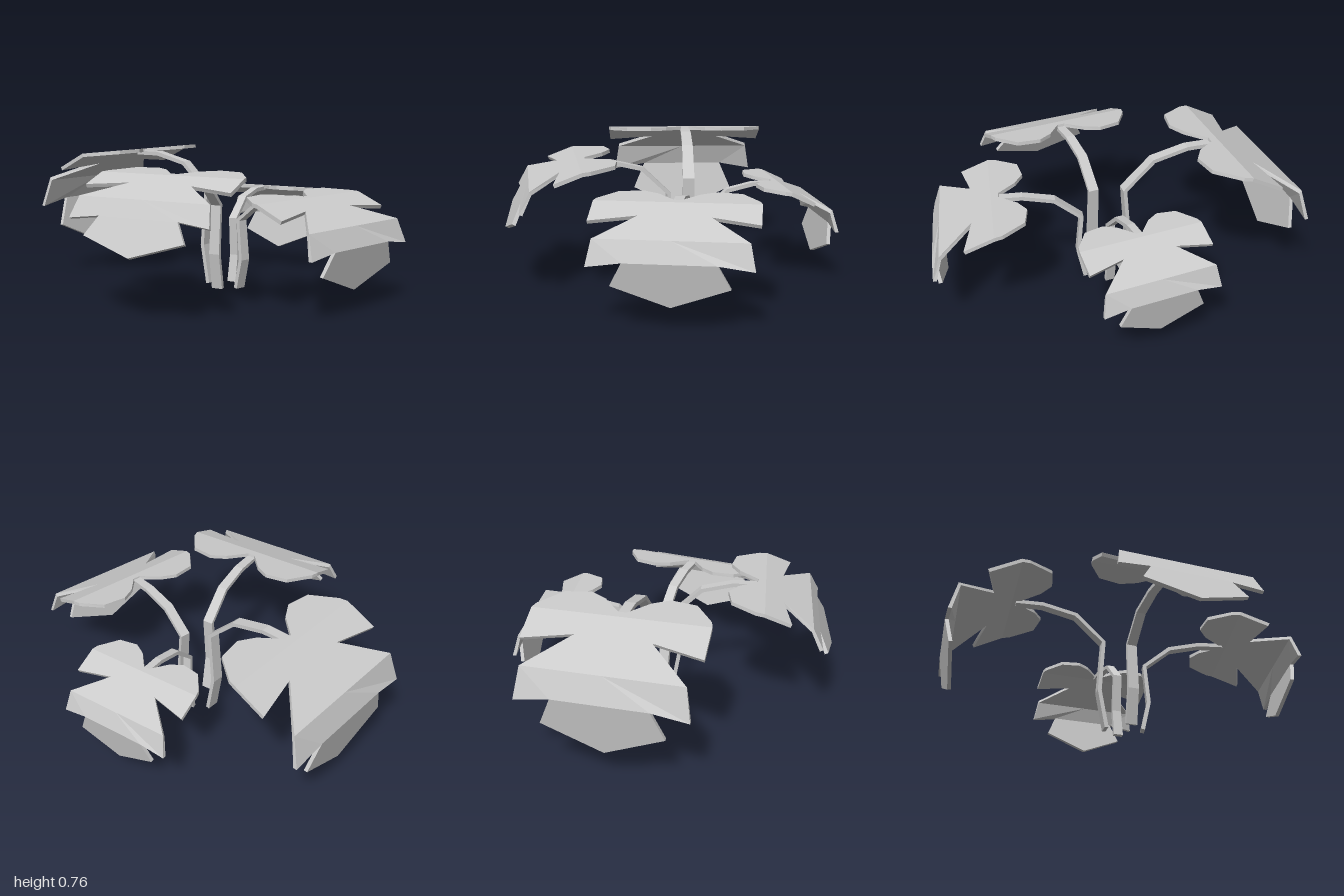
import * as THREE from 'three';

// Half of the leaf outline as convex patches of [across, along]
const LEAF = [
  // rounded lobe beside the stalk
  [[.37, .10], [.31, .02], [.185, 0], [.105, .045]],
  [[.02, .14], [.40, .14], [.37, .10], [.105, .045]],
  [[0, .14], [0, .18], [.41, .18], [.40, .14], [.02, .14]],
  [[0, .18], [.175, .295], [.41, .345], [.41, .18]],
  // flared middle
  [[0, .18], [0, .295], [.175, .295]],
  [[0, .295], [0, .48], [.365, .48], [.175, .295]],
  [[0, .48], [0, .59], [.22, .59], [.39, .615], [.365, .48]],
  // pointed tip
  [[0, .59], [0, .815], [.28, .71], [.22, .59]],
];

// Bend profiles: [along, outward distance, height]
const LEAF_BEND = [[0, .325, .56], [.18, .505, .545], [.48, .785, .43], [.59, .83, .33], [.815, .785, .11]];
const OPEN_BEND = [[0, .325, .685], [.18, .52, .67], [.48, .775, .575], [.59, .82, .49], [.815, .905, .315]];
const STEM_BEND = [[0, 0, 0], [1, .035, .16], [2, .015, .385], [3, .165, .505], [4, .34, .54], [5, .48, .54]];

// Half of the stem: a flat strip that narrows upward
const STEM = STEM_BEND.slice(1).map((_, i) => {
  const w = k => .032 - .0016 * k;
  return [[0, i], [0, i + 1], [w(i + 1), i + 1], [w(i), i]];
});

const material = new THREE.MeshStandardMaterial({ color: 0xcccccc, flatShading: true });

// Point on a profile, linear between its bends
function sample(profile, s) {
  let i = 1;
  while (i < profile.length - 1 && s > profile[i][0]) i++;
  const [a, b] = [profile[i - 1], profile[i]];
  const k = (s - a[0]) / (b[0] - a[0]);
  return [a[1] + (b[1] - a[1]) * k, a[2] + (b[2] - a[2]) * k];
}

// Profile moved inward by the sheet thickness
function offset(profile, d) {
  return profile.map(([s, t, y], i) => {
    const p = profile[Math.max(i - 1, 0)], n = profile[Math.min(i + 1, profile.length - 1)];
    const len = Math.hypot(n[1] - p[1], n[2] - p[2]);
    return [s, t + (n[2] - p[2]) / len * d, y - (n[1] - p[1]) / len * d];
  });
}

// Mirrored, folded sheet with thickness, walled along its open edges
function bentSheet(half, bend, thickness, sxz, sy) {
  const top = bend.map(([s, t, y]) => [s, t * sxz, y * sy]);
  const under = offset(top, thickness);
  const patches = [...half, ...half.map(p => p.map(([u, s]) => [-u, s]).reverse())];
  const pos = [];
  const put = (profile, [u, s]) => {
    const [t, y] = sample(profile, s);
    pos.push(u * sxz, y, t);
  };
  const key = (a, b) => [a, b].map(p => p.map(v => Math.round(v * 1e4) + 0).join()).join('|');
  const edges = new Map();
  for (const p of patches) {
    for (let i = 1; i < p.length - 1; i++) {
      for (const q of [p[0], p[i], p[i + 1]]) put(top, q);
      for (const q of [p[0], p[i + 1], p[i]]) put(under, q);
    }
    p.forEach((a, i) => {
      const b = p[(i + 1) % p.length];
      edges.set(key(a, b), [a, b]);
    });
  }
  for (const [a, b] of edges.values()) {
    if (edges.has(key(b, a))) continue;
    put(top, a); put(under, a); put(under, b);
    put(top, a); put(under, b); put(top, b);
  }
  const geometry = new THREE.BufferGeometry();
  geometry.setAttribute('position', new THREE.Float32BufferAttribute(pos, 3));
  geometry.computeVertexNormals();
  return geometry;
}

export function createModel() {
  const model = new THREE.Group();
  model.name = 'leafyPlant';
  const fronds = [
    { name: 'frontFrond', x: .085, z: .165, yaw: 0, sxz: 1, stemY: 1, leafY: 1, bend: LEAF_BEND },
    { name: 'backFrond', x: .075, z: -.02, yaw: Math.PI + .149, sxz: 1.12, stemY: 1.35, leafY: 1.35, bend: LEAF_BEND },
    { name: 'leftFrond', x: .155, z: .05, yaw: 1.834, sxz: .82, stemY: .95, leafY: .95, bend: LEAF_BEND },
    { name: 'rightFrond', x: 0, z: .1, yaw: -1.287, sxz: 1, stemY: 1.22, leafY: 1, bend: OPEN_BEND },
  ];
  for (const f of fronds) {
    const frond = new THREE.Group();
    frond.name = f.name;
    const stem = new THREE.Mesh(bentSheet(STEM, STEM_BEND, .022, f.sxz, f.stemY), material);
    stem.name = 'stem';
    const leaf = new THREE.Mesh(bentSheet(LEAF, f.bend, .02, f.sxz, f.leafY), material);
    leaf.name = 'leaf';
    frond.add(stem, leaf);
    frond.position.set(f.x, 0, f.z);
    frond.rotation.y = f.yaw;
    model.add(frond);
  }
  return model;
}
